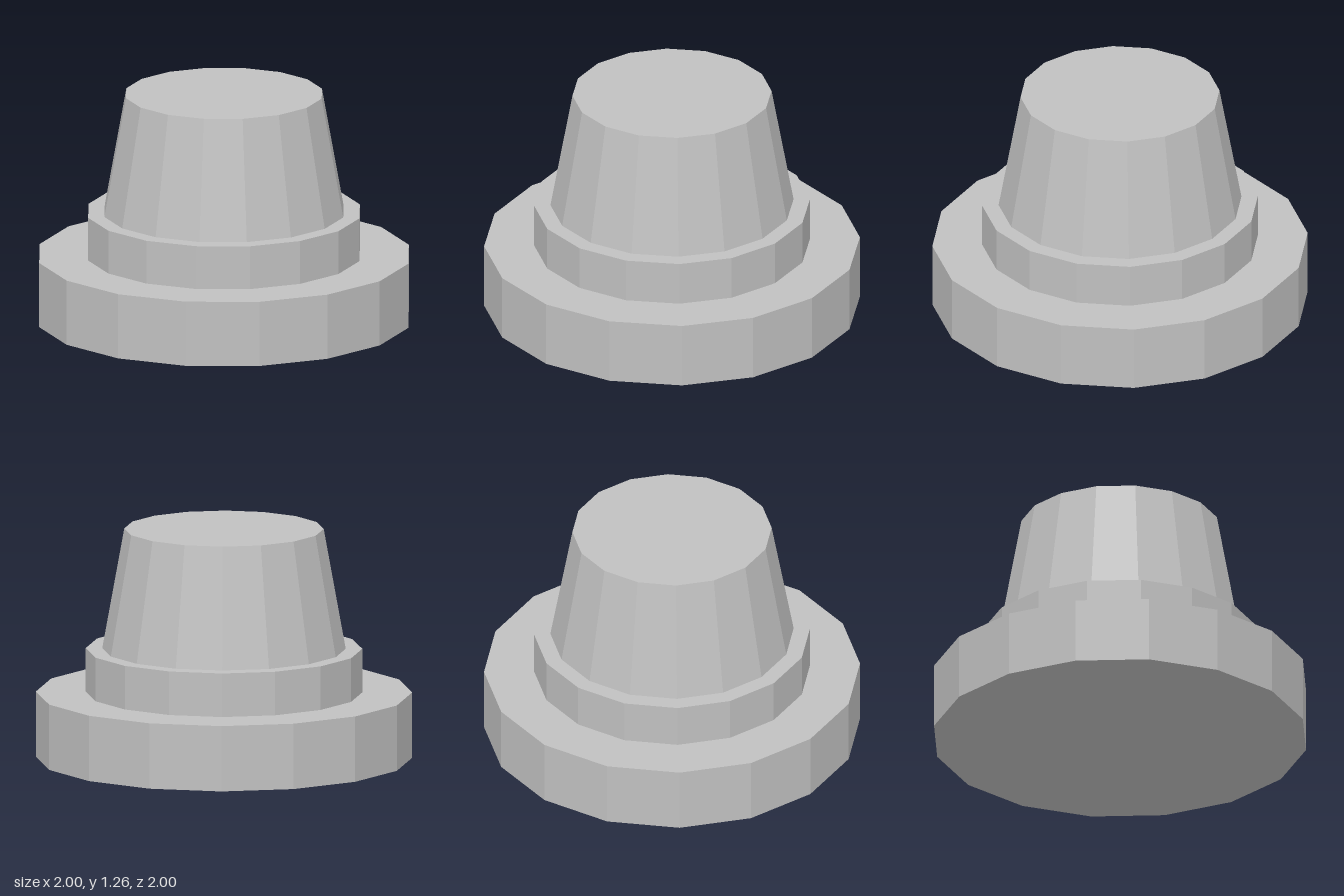
import * as THREE from 'three';

const SIDES = 16;

export function createModel() {
  const model = new THREE.Group();
  model.name = 'steppedKnob';
  const grey = new THREE.MeshStandardMaterial({ color: 0xc0c0c0, flatShading: true });
  grey.name = 'light grey';

  // Sixteen-sided tier; half widths are measured to the middle of a flat face
  const addTier = (name, bottomHalf, topHalf, y0, y1) => {
    const toCorner = 1 / Math.cos(Math.PI / SIDES);
    const geometry = new THREE.CylinderGeometry(
      topHalf * toCorner, bottomHalf * toCorner, y1 - y0, SIDES, 1, false, Math.PI / SIDES);
    const mesh = new THREE.Mesh(geometry, grey);
    mesh.name = name;
    mesh.position.y = (y0 + y1) / 2;
    model.add(mesh);
  };

  addTier('base', 1, 1, 0, 0.36);
  addTier('collar', 0.735, 0.735, 0.36, 0.6);
  addTier('taperedTop', 0.647, 0.53, 0.6, 1.26);

  return model;
}
